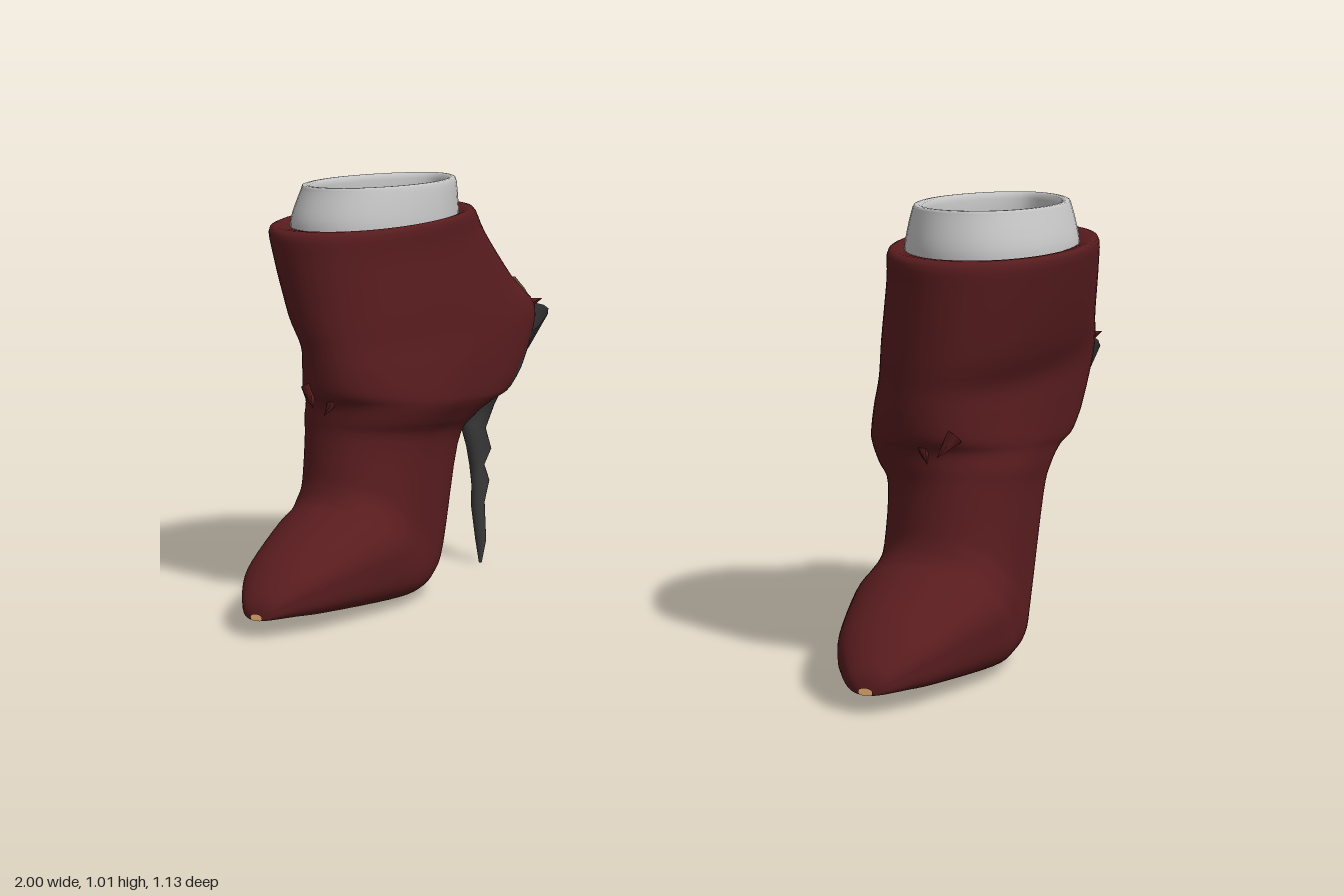
import * as THREE from 'three';

const mat = (name, color) => {
  const m = new THREE.MeshStandardMaterial({ color, side: THREE.DoubleSide });
  m.name = name;
  return m;
};
const red = mat('darkRedLeather', 0x581c1e);
const tan = mat('tanSole', 0xb58558);
const black = mat('charcoalHeel', 0x373737);
const white = mat('paleCollar', 0xc4c4c4);
const MATS = [red, tan, black, white];
const RED = 0, TAN = 1, BLACK = 2, WHITE = 3;

// Each section: front z, front y, back z, back y, centre x, half width
const SHELL = [
  [.565, .055, .565, .04, .74, .015],
  [.552, .09, .55, .04, .74, .045],
  [.50, .14, .49, .037, .74, .085],
  [.43, .183, .41, .03, .74, .118],
  [.29, .243, .17, .012, .745, .165],
  [.262, .265, .05, .01, .745, .163],
  [.25, .29, -.04, .03, .75, .155],
  [.243, .325, -.10, .09, .75, .147],
  [.235, .41, -.178, .345, .75, .15],
  [.237, .45, -.215, .412, .74, .167],
  [.242, .488, -.29, .448, .73, .18],
  [.262, .518, -.38, .47, .73, .186],
  [.27, .57, -.49, .56, .732, .188],
  [.273, .62, -.565, .66, .738, .188],
  [.278, .69, -.48, .745, .757, .198],
  [.278, .83, -.385, .865, .783, .207],
  [.268, .893, -.345, .932, .79, .21],
  [.20, .893, -.31, .92, .787, .172],
];
const HEEL = [
  [-.364, .0, -.368, .0, .69, .004],
  [-.364, .06, -.392, .055, .695, .014],
  [-.365, .14, -.40, .16, .705, .017],
  [-.367, .20, -.425, .21, .705, .02],
  [-.38, .25, -.412, .25, .715, .02],
  [-.362, .30, -.45, .285, .715, .025],
  [-.36, .36, -.428, .34, .725, .03],
  [-.375, .42, -.465, .40, .735, .05],
  [-.34, .46, -.502, .48, .74, .09],
  [-.32, .50, -.53, .57, .735, .135],
  [-.33, .56, -.565, .658, .73, .168],
];
const COLLAR = [
  [.21, .88, -.318, .90, .785, .18],
  [.207, .92, -.317, .93, .785, .178],
  [.185, .98, -.313, .99, .78, .164],
  [.178, .995, -.306, 1.005, .78, .155],
  [.158, .98, -.288, .99, .78, .136],
  [.163, .88, -.29, .89, .783, .143],
];

// Catmull-Rom refinement of a section list
function refine(list, n) {
  const out = [];
  const at = i => list[Math.max(0, Math.min(list.length - 1, i))];
  for (let i = 0; i < list.length - 1; i++) {
    const [a, b, c, d] = [at(i - 1), at(i), at(i + 1), at(i + 2)];
    for (let k = 0; k < n; k++) {
      const t = k / n;
      out.push(b.map((_, q) => b[q] + .5 * t * (c[q] - a[q]
        + t * (2 * a[q] - 5 * b[q] + 4 * c[q] - d[q] + t * (3 * (b[q] - c[q]) + d[q] - a[q])))));
    }
  }
  out.push(list[list.length - 1]);
  return out;
}

const spow = (v, p) => Math.sign(v) * Math.pow(Math.abs(v), p);

function surface(pos, idx) {
  const g = new THREE.BufferGeometry();
  g.setAttribute('position', new THREE.Float32BufferAttribute(pos, 3));
  g.setIndex(idx);
  g.computeVertexNormals();
  return g;
}

// Skins rounded rings; roundness(fraction) squares off the back half,
// pick(row, angle, y, z) chooses the colour of each quad
function loft(name, sections, seg, s, roundness, pick) {
  const pos = [], faces = MATS.map(() => []);
  sections.forEach(([fz, fy, bz, by, cx, hw], i) => {
    const back = roundness(i / (sections.length - 1));
    for (let j = 0; j < seg; j++) {
      const t = j / seg * Math.PI * 2, c = -Math.cos(t), p = c < 0 ? back : .95;
      const v = (spow(c, p) + 1) / 2;
      pos.push(s * (cx + hw * spow(Math.sin(t), p)), by + (fy - by) * v, bz + (fz - bz) * v);
    }
  });
  for (let i = 0; i < sections.length - 1; i++) {
    for (let j = 0; j < seg; j++) {
      const a = i * seg + j, b = i * seg + (j + 1) % seg, c = b + seg, d = a + seg;
      const mid = k => (pos[a * 3 + k] + pos[b * 3 + k] + pos[c * 3 + k] + pos[d * 3 + k]) / 4;
      const t = (j + .5) / seg * Math.PI * 2;
      const f = faces[pick(i, Math.min(t, Math.PI * 2 - t), mid(1), mid(2))];
      if (s > 0) f.push(a, d, c, a, c, b);
      else f.push(a, c, d, a, b, c);
    }
  }
  const g = surface(pos, faces.flat());
  let start = 0;
  faces.forEach((f, m) => {
    if (f.length) g.addGroup(start, f.length, m);
    start += f.length;
  });
  const mesh = new THREE.Mesh(g, MATS);
  mesh.name = name;
  return mesh;
}

// Inner footbed: a shallow trough just above the shell's underside
function footbed(s) {
  const rows = refine(SHELL.slice(2, 15), 2), pos = [], idx = [];
  const across = [-.78, -.4, 0, .4, .78], n = across.length;
  for (const [fz, fy, bz, by, cx, hw] of rows) {
    for (const u of across) {
      const v = .06 + .06 * u * u;
      pos.push(s * (cx + hw * u), by + (fy - by) * v, bz + (fz - bz) * v);
    }
  }
  for (let i = 0; i < rows.length - 1; i++) {
    for (let j = 0; j < n - 1; j++) {
      const a = i * n + j, d = a + n;
      if (s > 0) idx.push(a, d + 1, d, a, a + 1, d + 1);
      else idx.push(a, d, d + 1, a, d + 1, a + 1);
    }
  }
  const mesh = new THREE.Mesh(surface(pos, idx), tan);
  mesh.name = 'footbed';
  return mesh;
}

// Small torn points of leather: x, y, z, tilt about x, tilt about z
const TEARS = [
  [.79, .505, .25, 2.6, .5], [.74, .49, .243, 2.7, -.4],
  [.885, .665, -.48, -1.3, -.5], [.61, .665, -.51, -1.3, .5],
];

function boot(name, s) {
  const g = new THREE.Group();
  g.name = name;
  const sub = 4;
  // Tan underside narrowing along the arch, charcoal heel counter below a slanted line
  const shellColour = (i, t, y, z) => {
    const k = i / sub;
    const soleAngle = k < 6 ? .7 : .8 - Math.max(0, k - 8) * .12;
    if (k < 11 && t < soleAngle) return TAN;
    if (k > 8 && z < -.2 && y < .44 + (-.22 - z) * .66 && t < 2.2) return BLACK;
    return RED;
  };
  const shellRoundness = f => Math.max(.5, .5 + (17 * f - 11.5) / 10);
  g.add(loft('bootShell', refine(SHELL, sub), 72, s, shellRoundness, shellColour));
  g.add(loft('stilettoHeel', HEEL, 20, s, f => 1 - .5 * f, () => BLACK));
  g.add(loft('ankleCollar', refine(COLLAR, 3), 48, s, () => 1.12, () => WHITE));
  g.add(footbed(s));
  for (const [x, y, z, rx, rz] of TEARS) {
    const tear = new THREE.Mesh(new THREE.ConeGeometry(.02, .06, 5), red);
    tear.name = 'tornLeather';
    tear.position.set(s * x, y, z);
    tear.rotation.set(rx, 0, s * rz);
    g.add(tear);
  }
  return g;
}

export function createModel() {
  const model = new THREE.Group();
  model.name = 'ankleBoots';
  model.add(boot('leftBoot', 1), boot('rightBoot', -1));
  return model;
}
